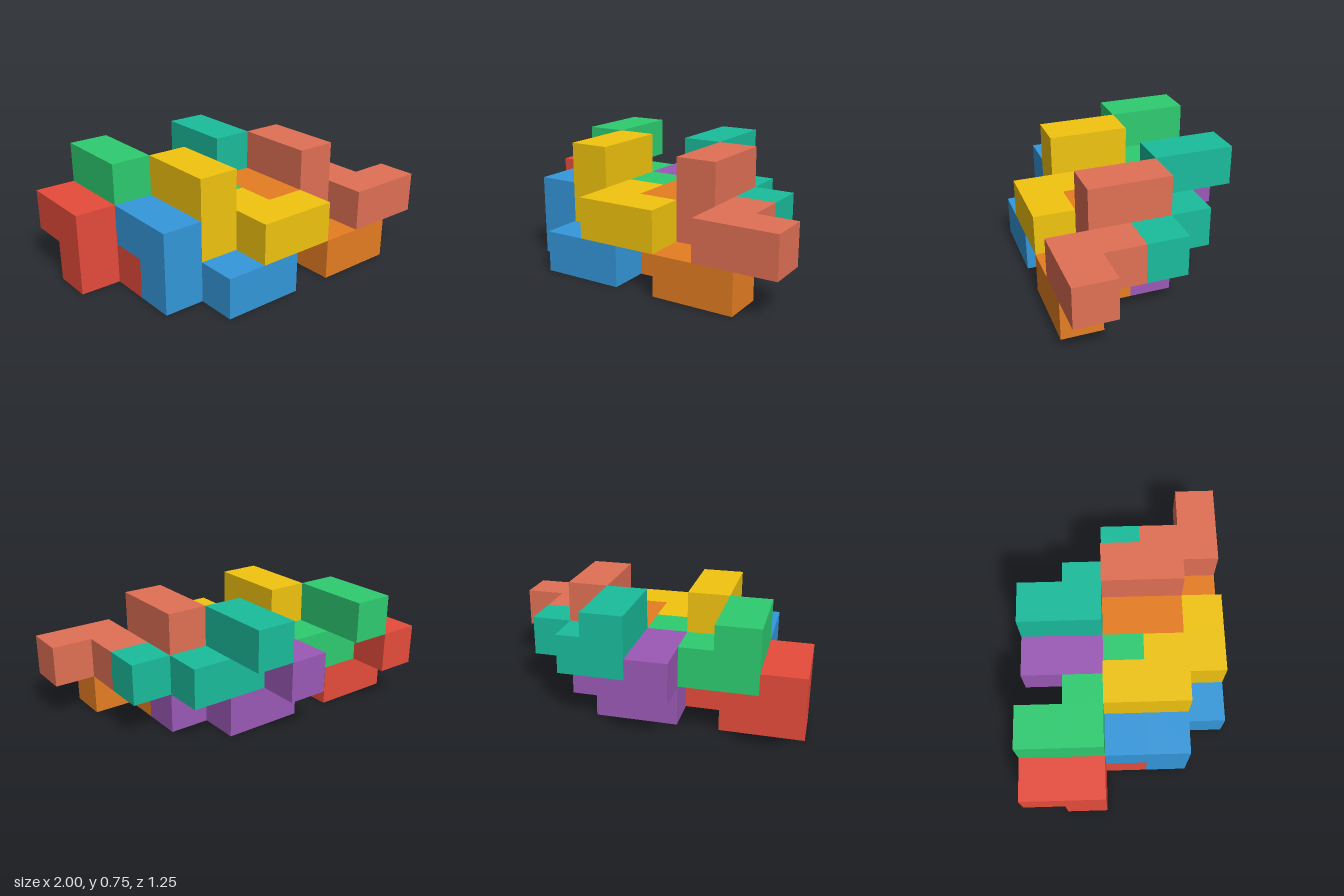
import * as THREE from 'three';
import { mergeGeometries } from 'three/addons/utils/BufferGeometryUtils.js';

const CELL = 0.25;

// Unit cells of the one zigzag block shape shared by all pieces
const CELLS = [[0, 1, 0], [0, 1, 1], [0, 0, 1], [1, 0, 1], [1, 0, 2], [2, 0, 2]];

// Each piece: name, colour, offset in cells
const PIECES = [
  ['redPiece', 0xe74c3c, [0, 0, 0]],
  ['purplePiece', 0x9b59b6, [3, 0, 0]],
  ['bluePiece', 0x3498db, [1, 0, 2]],
  ['orangePiece', 0xe67e22, [4, 0, 2]],
  ['greenPiece', 0x2ecc71, [1, 1, 0]],
  ['tealPiece', 0x1abc9c, [4, 1, 0]],
  ['yellowPiece', 0xf1c40f, [2, 1, 2]],
  ['coralPiece', 0xe17055, [5, 1, 2]],
];

const SIDES = [[1, 0, 0], [-1, 0, 0], [0, 1, 0], [0, -1, 0], [0, 0, 1], [0, 0, -1]];

// Closed shell of the cells: only faces without a neighbouring cell are kept
function shellGeometry(cells) {
  const filled = new Set(cells.map(String));
  const forward = new THREE.Vector3(0, 0, 1);
  const faces = [];
  for (const cell of cells) {
    for (const side of SIDES) {
      if (filled.has(String(cell.map((c, i) => c + side[i])))) continue;
      const turn = new THREE.Quaternion().setFromUnitVectors(forward, new THREE.Vector3(...side));
      const centre = cell.map((c, i) => (c + 0.5 + side[i] / 2) * CELL);
      faces.push(new THREE.PlaneGeometry(CELL, CELL).applyQuaternion(turn).translate(...centre));
    }
  }
  return mergeGeometries(faces);
}

export function createModel() {
  const model = new THREE.Group();
  model.name = 'interlockingBlocks';
  const geometry = shellGeometry(CELLS);
  for (const [name, color, [i, j, k]] of PIECES) {
    const piece = new THREE.Mesh(geometry, new THREE.MeshStandardMaterial({ color }));
    piece.name = name;
    // The assembly is 8 cells wide and 5 deep
    piece.position.set((i - 4) * CELL, j * CELL, (k - 2.5) * CELL);
    model.add(piece);
  }
  return model;
}
